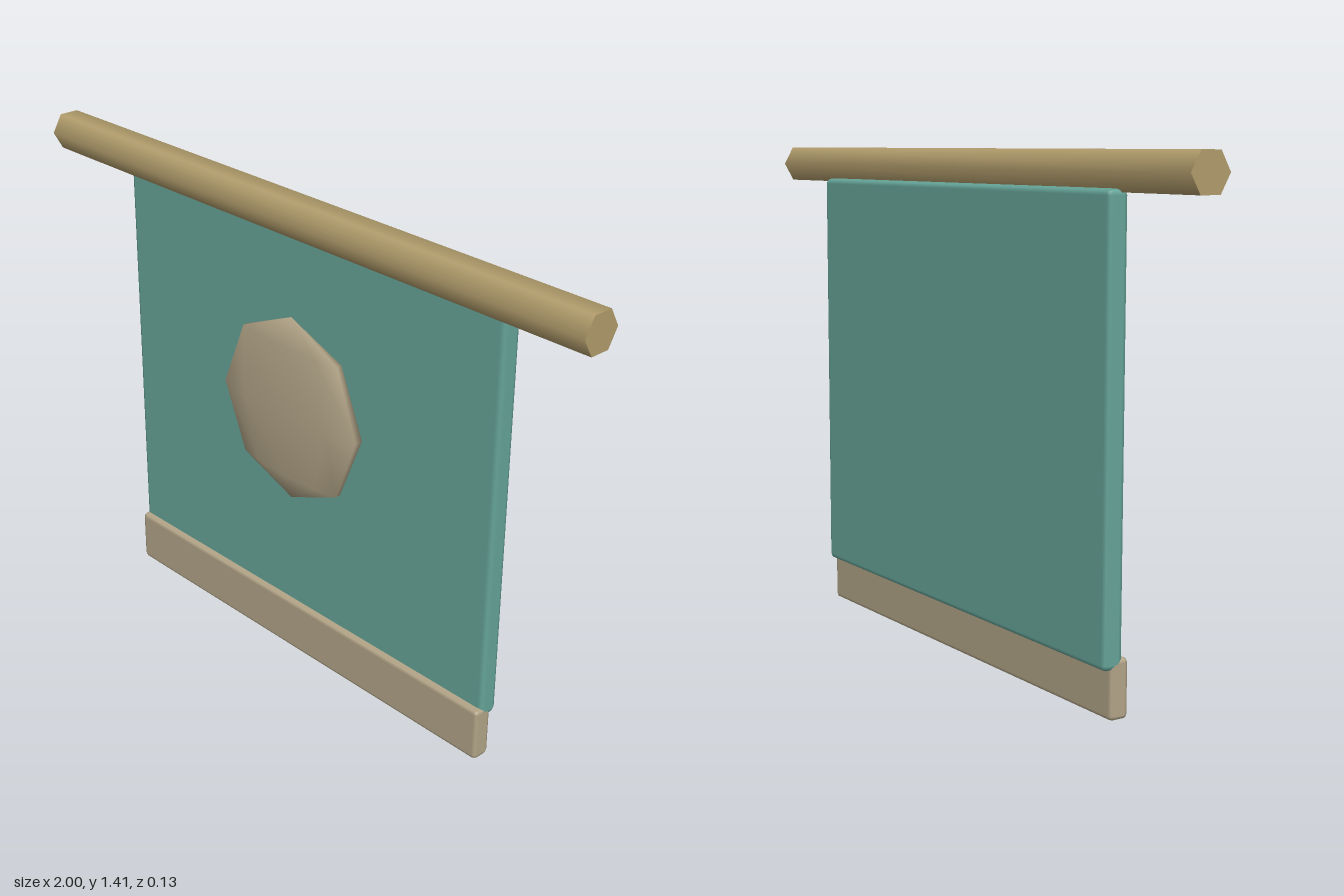
import * as THREE from 'three';
import { RoundedBoxGeometry } from 'three/addons/geometries/RoundedBoxGeometry.js';

export function createModel() {
  const group = new THREE.Group();
  const cloth = new THREE.MeshStandardMaterial({ color: 0x66a599 });
  const trim = new THREE.MeshStandardMaterial({ color: 0xb3a588 });
  const wood = new THREE.MeshStandardMaterial({ color: 0xb29d6c });

  const add = (name, geometry, material, x, y, z) => {
    const mesh = new THREE.Mesh(geometry, material);
    mesh.name = name;
    mesh.position.set(x, y, z);
    group.add(mesh);
    return mesh;
  };

  // Six-sided rod with corners pointing to the front and back
  const rod = new THREE.CylinderGeometry(0.059, 0.059, 2, 6);
  rod.rotateZ(Math.PI / 2);
  add('hangingRod', rod, wood, 0, 1.362, 0.004);

  // Hanging cloth panel with softened edges
  add('clothPanel', new RoundedBoxGeometry(1.434, 1.19, 0.059, 1, 0.016), cloth, 0, 0.725, -0.033);

  // Weighted bar along the lower hem
  add('hemBar', new RoundedBoxGeometry(1.434, 0.16, 0.056, 1, 0.013), trim, 0, 0.08, -0.013);

  // Flattened faceted medallion, poles up and down, one meridian facing forward
  const disc = new THREE.SphereGeometry(0.278, 10, 4);
  disc.rotateY(Math.PI / 2);
  disc.scale(1, 1, 0.137);
  add('medallion', disc, trim, 0, 0.803, 0.026);

  return group;
}
